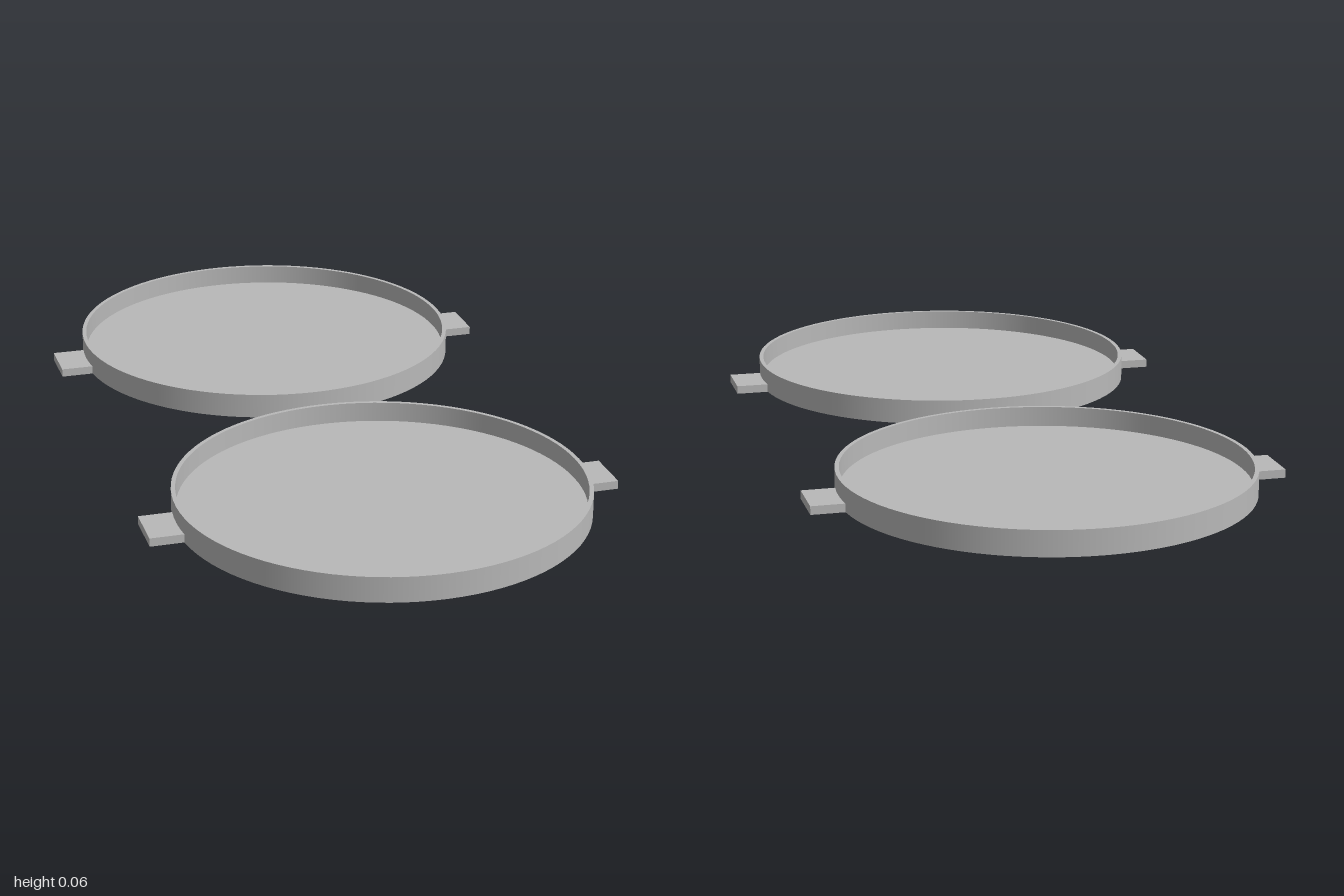
import * as THREE from 'three';
import { mergeGeometries } from 'three/addons/utils/BufferGeometryUtils.js';

const RADIUS = 0.48, INNER = 0.47, HEIGHT = 0.06, FLOOR = 0.012;
const TAB_END = 0.555, TAB_HEIGHT = 0.02, TAB_WIDTH = 0.12;

// Revolves each straight run of the profile separately, so rims stay sharp and walls smooth
function sharpLathe(points, segments) {
  const runs = [];
  for (let i = 0; i < points.length - 1; i++) {
    const pair = [points[i], points[i + 1]].map(([x, y]) => new THREE.Vector2(x, y));
    runs.push(new THREE.LatheGeometry(pair, segments));
  }
  return mergeGeometries(runs);
}

export function createModel() {
  const model = new THREE.Group();
  model.name = 'trayPair';
  const grey = new THREE.MeshStandardMaterial({ color: 0xb8b8b8 });
  grey.name = 'grey';

  // Underside, outer wall, rim, inner wall, floor
  const trayGeometry = sharpLathe([
    [0, 0], [RADIUS, 0], [RADIUS, HEIGHT], [INNER, HEIGHT], [INNER, FLOOR], [0, FLOOR],
  ], 96);

  // Side tab, starting inside the thickness of the wall
  const tabStart = 0.474;
  const tabGeometry = new THREE.BoxGeometry(TAB_END - tabStart, TAB_HEIGHT, TAB_WIDTH);

  for (const end of [1, -1]) {
    const tray = new THREE.Group();
    tray.name = end > 0 ? 'frontTray' : 'backTray';
    tray.position.z = end * 0.52;

    const dish = new THREE.Mesh(trayGeometry, grey);
    dish.name = 'dish';
    tray.add(dish);

    for (const side of [1, -1]) {
      const tab = new THREE.Mesh(tabGeometry, grey);
      tab.name = side > 0 ? 'leftTab' : 'rightTab';
      tab.position.set(side * (tabStart + TAB_END) / 2, TAB_HEIGHT / 2, 0);
      tray.add(tab);
    }
    model.add(tray);
  }
  return model;
}
